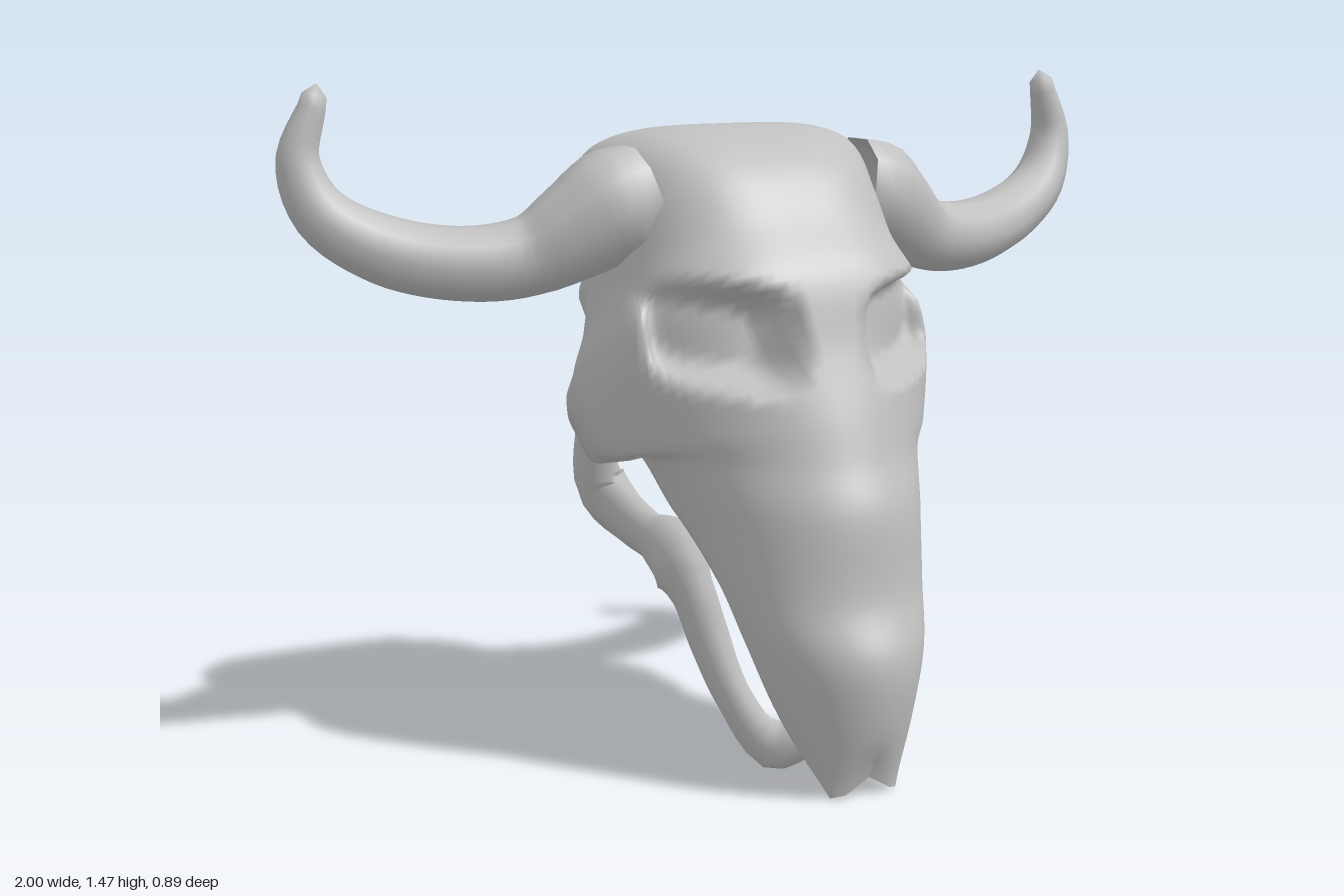
import * as THREE from 'three';
import { mergeVertices } from 'three/addons/utils/BufferGeometryUtils.js';

const bone = new THREE.MeshStandardMaterial({ color: 0xc0c0c0, side: THREE.DoubleSide });
bone.name = 'bone';

const V = (x, y, z) => new THREE.Vector3(x, y, z);
const lerp = THREE.MathUtils.lerp;
const smooth = THREE.MathUtils.smoothstep;

function smoothed(geo) {
  geo.deleteAttribute('uv');
  geo.deleteAttribute('normal');
  const merged = mergeVertices(geo, 1e-5);
  merged.computeVertexNormals();
  return merged;
}

// Tapered tube; each point is [x, y, z, radius], flat squeezes it sideways
function taperedTube(name, pts, flat, segs, sides) {
  const curve = new THREE.CatmullRomCurve3(pts.map(p => V(p[0], p[1], p[2])));
  const geo = new THREE.TubeGeometry(curve, segs, 1, sides);
  const pos = geo.attributes.position;
  const v = V(0, 0, 0);
  for (let i = 0; i <= segs; i++) {
    const c = curve.getPointAt(i / segs);
    const f = curve.getUtoTmapping(i / segs) * (pts.length - 1);
    const k = Math.min(Math.floor(f), pts.length - 2);
    const r = lerp(pts[k][3], pts[k + 1][3], f - k);
    for (let j = 0; j <= sides; j++) {
      const n = i * (sides + 1) + j;
      v.fromBufferAttribute(pos, n).sub(c).multiplyScalar(r);
      pos.setXYZ(n, c.x + v.x * flat, c.y + v.y, c.z + v.z);
    }
  }
  const mesh = new THREE.Mesh(smoothed(geo), bone);
  mesh.name = name;
  return mesh;
}

// Mirrors a part's geometry across x = 0
function mirrored(mesh, name) {
  const geo = mesh.geometry.clone().scale(-1, 1, 1);
  const idx = geo.index.array;
  for (let i = 0; i < idx.length; i += 3) [idx[i], idx[i + 1]] = [idx[i + 1], idx[i]];
  geo.computeVertexNormals();
  const m = new THREE.Mesh(geo, bone);
  m.name = name;
  return m;
}

// Skull stations from crest to muzzle: half width, front y, z, squareness, rear y, z
const stations = [
  [0.25, 1.31, -0.44, 3.6, 1.25, -0.41],
  [0.32, 1.365, -0.32, 4.0, 1.16, -0.38],
  [0.335, 1.37, -0.10, 4.0, 1.05, -0.36],
  [0.335, 1.30, 0.03, 3.3, 0.93, -0.345],
  [0.355, 1.19, 0.12, 3.0, 0.85, -0.35],
  [0.395, 1.08, 0.21, 3.0, 0.78, -0.34],
  [0.405, 0.93, 0.255, 2.4, 0.70, -0.27],
  [0.385, 0.80, 0.305, 2.0, 0.65, -0.19],
  [0.325, 0.70, 0.34, 1.9, 0.69, -0.09],
  [0.27, 0.60, 0.38, 2.0, 0.58, 0.02],
  [0.225, 0.42, 0.40, 2.1, 0.44, 0.14],
  [0.195, 0.30, 0.445, 2.0, 0.32, 0.20],
  [0.15, 0.18, 0.435, 2.0, 0.17, 0.26],
  [0.08, 0.015, 0.38, 2.2, 0.005, 0.355],
];

function skullGeometry() {
  const rows = 91, cols = 56, ring = cols * 2 + 2;
  const front = new THREE.CatmullRomCurve3(stations.map(s => V(s[0], s[1], s[2])));
  const rear = new THREE.CatmullRomCurve3(stations.map(s => V(s[3], s[4], s[5])));
  const pos = [], index = [];
  for (let i = 0; i <= rows; i++) {
    const t = i / rows;
    const F = front.getPoint(t), B = rear.getPoint(t), e = 2 / B.x;
    const hollow = Math.min(1, t * 7, (1 - t) * 8);
    // the back of the head is filled most, the muzzle least
    const fill = lerp(0.62, 0.48, smooth(t, 0.1, 0.45)) * Math.min(1, (1 - t) * 8);
    const curl = 0.13 * (1 - smooth(t, 0.55, 0.7));
    const wall = lerp(0.32, 0.22, smooth(t, 0.55, 0.7));
    for (let j = 0; j < ring; j++) {
      // outer surface left to right, then the hollow inside back again
      const inner = j > cols;
      const a = ((inner ? ring - 1 - j : j) / cols - 0.5) * Math.PI;
      const sn = Math.sin(a), cs = Math.max(0, Math.cos(a));
      const s = 1 - (inner ? 1 - fill : 1) * Math.pow(cs, e);
      // the rim of the outer wall curls inward to meet the inner wall
      const wide = F.x * (1 - hollow * (inner ? wall : curl * smooth(s, 0.7, 1)));
      const x = wide * Math.sign(sn) * Math.pow(Math.abs(sn), e);
      let y = lerp(F.y, B.y, s), z = lerp(F.z, B.z, s);
      const ax = Math.abs(x);
      if (!inner && s < 0.75) {
        // eye sockets under slanted brows
        const r = Math.hypot(((ax - 0.215) / 0.135) ** 2, ((y - 0.96 - 0.15 * (ax - 0.22)) / 0.105) ** 2);
        z -= 0.105 * (1 - smooth(r, 0.4, 1.1));
      }
      // notch between the two muzzle prongs
      y += 0.03 * smooth(t, 0.94, 1) * Math.max(0, 1 - ax / 0.055);
      pos.push(x, y, z);
    }
  }
  for (let i = 0; i < rows; i++) {
    for (let j = 0; j < ring; j++) {
      const k = (j + 1) % ring;
      const a = i * ring + j, b = i * ring + k, c = a + ring, d = b + ring;
      index.push(a, c, b, b, c, d);
    }
  }
  const geo = new THREE.BufferGeometry();
  geo.setAttribute('position', new THREE.Float32BufferAttribute(pos, 3));
  geo.setIndex(index);
  geo.computeVertexNormals();
  return geo;
}

export function createModel() {
  const group = new THREE.Group();
  group.name = 'hornedSkull';

  const skull = new THREE.Mesh(skullGeometry(), bone);
  skull.name = 'skull';

  // Horns sweep out, back and up to a blunt tip
  const horn = taperedTube('leftHorn', [
    [0.255, 1.235, -0.135, 0.115], [0.32, 1.215, -0.14, 0.125], [0.40, 1.165, -0.16, 0.107],
    [0.49, 1.115, -0.19, 0.086],
    [0.62, 1.10, -0.22, 0.08], [0.78, 1.13, -0.27, 0.075], [0.91, 1.21, -0.305, 0.062],
    [0.952, 1.32, -0.32, 0.047], [0.922, 1.43, -0.31, 0.03], [0.912, 1.47, -0.31, 0.024],
    [0.91, 1.478, -0.31, 0],
  ], 1, 40, 10);

  // Lower jaw branches, converging at the chin
  const jaw = taperedTube('leftJaw', [
    [0.30, 0.82, -0.31, 0], [0.30, 0.78, -0.31, 0.045], [0.29, 0.69, -0.315, 0.06],
    [0.26, 0.575, -0.345, 0.085], [0.235, 0.51, -0.26, 0.062], [0.22, 0.48, -0.18, 0.055],
    [0.205, 0.445, -0.085, 0.095], [0.195, 0.38, -0.03, 0.07], [0.18, 0.29, 0.01, 0.067],
    [0.16, 0.17, 0.085, 0.055],
    [0.11, 0.075, 0.15, 0.06], [0.05, 0.10, 0.24, 0.035], [0.025, 0.09, 0.28, 0],
  ], 0.6, 44, 8);

  group.add(skull, horn, mirrored(horn, 'rightHorn'), jaw, mirrored(jaw, 'rightJaw'));
  return group;
}
